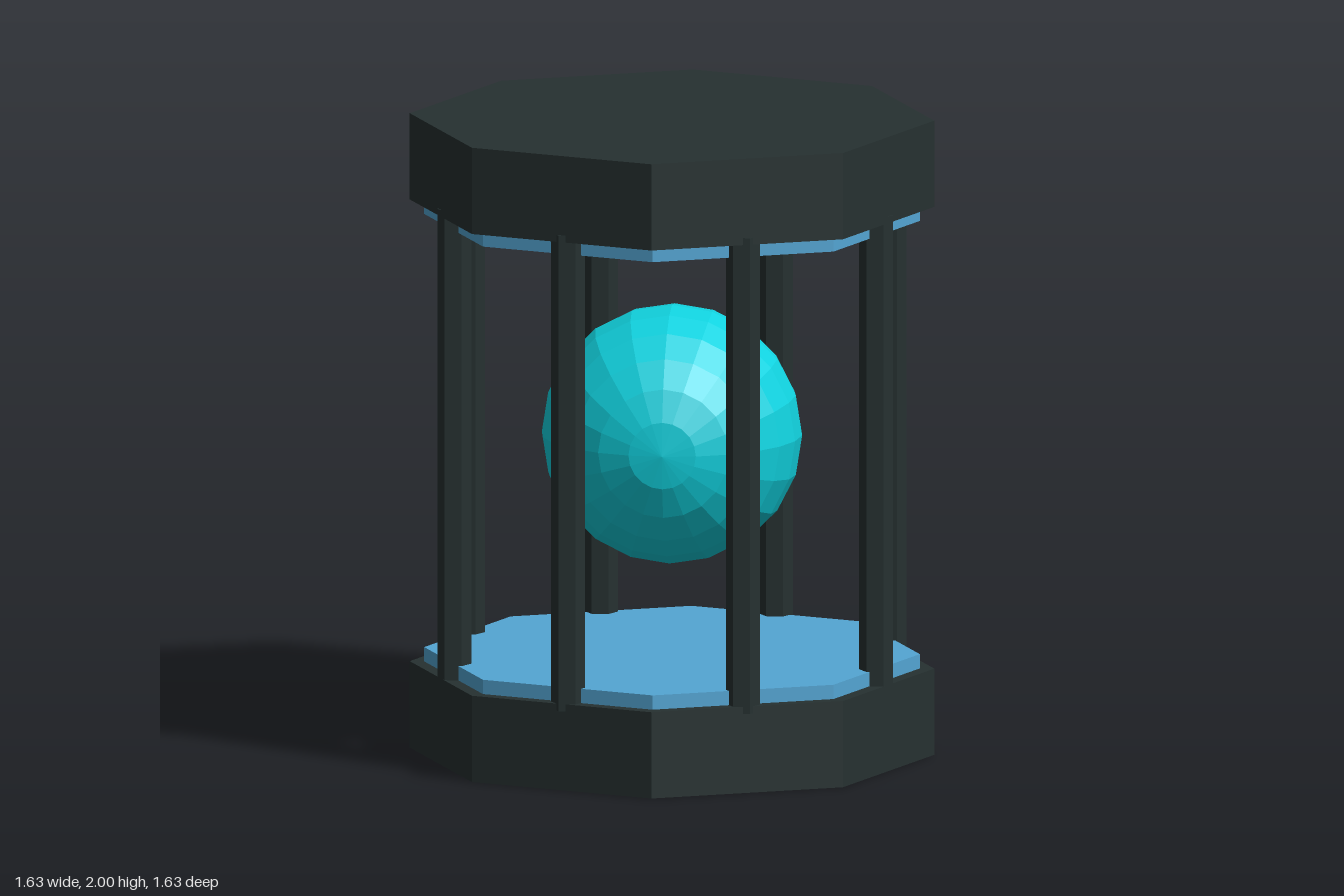
import * as THREE from 'three';

export function createModel() {
  const group = new THREE.Group();
  const material = (name, color) => {
    const m = new THREE.MeshStandardMaterial({ color, flatShading: true });
    m.name = name;
    return m;
  };
  const dark = material('dark frame', 0x263131);
  const blue = material('blue plate', 0x54a6d4);
  const cyan = material('cyan orb', 0x11d3e0);

  const add = (name, geometry, mat, x, y, z) => {
    const mesh = new THREE.Mesh(geometry, mat);
    mesh.name = name;
    mesh.position.set(x, y, z);
    group.add(mesh);
  };

  // Octagonal end caps and their thinner inner plates
  const cap = new THREE.CylinderGeometry(0.816, 0.816, 0.272, 8);
  const plate = new THREE.CylinderGeometry(0.771, 0.771, 0.05, 8);
  add('bottomCap', cap, dark, 0, 0.136, 0);
  add('topCap', cap, dark, 0, 1.864, 0);
  add('bottomPlate', plate, blue, 0, 0.292, 0);
  add('topPlate', plate, blue, 0, 1.708, 0);

  // Eight hexagonal pillars, one at the middle of each cap side
  const pillar = new THREE.CylinderGeometry(0.053, 0.053, 1.5, 6).rotateY(Math.PI / 2);
  for (let i = 0; i < 8; i++) {
    const a = (i + 0.5) * Math.PI / 4;
    add('pillar' + (i + 1), pillar, dark, 0.71 * Math.sin(a), 1, 0.71 * Math.cos(a));
  }

  // Faceted orb with its poles facing front and back
  const orb = new THREE.SphereGeometry(0.405, 20, 12).rotateX(Math.PI / 2);
  add('orb', orb, cyan, 0, 1.002, 0);

  return group;
}
